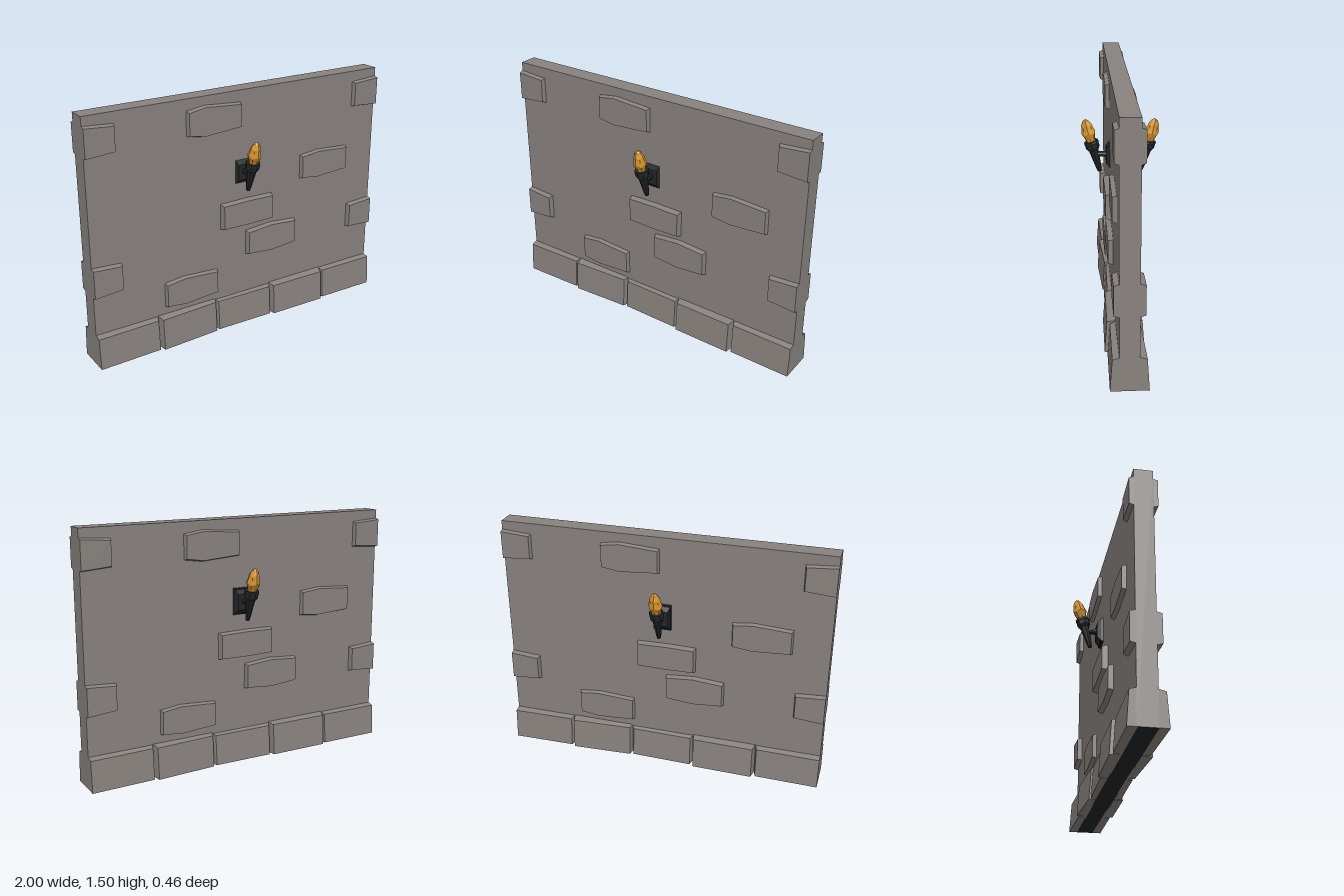
import * as THREE from 'three';

const stone = new THREE.MeshStandardMaterial({ name: 'stone grey', color: 0x88827e, flatShading: true });
const iron = new THREE.MeshStandardMaterial({ name: 'dark iron', color: 0x222426, flatShading: true });
const fire = new THREE.MeshStandardMaterial({ name: 'flame orange', color: 0xd6942f, flatShading: true });

function mesh(name, geometry, material, parent) {
  const m = new THREE.Mesh(geometry, material);
  m.name = name;
  parent.add(m);
  return m;
}

// Solid between two matching rings, both counter-clockwise seen from +z
function loft(back, front) {
  const pos = [];
  const tri = (a, b, c) => pos.push(...a, ...b, ...c);
  const n = back.length;
  for (let i = 0; i < n; i++) {
    const j = (i + 1) % n;
    tri(back[i], back[j], front[j]);
    tri(back[i], front[j], front[i]);
    if (i > 0 && i < n - 1) {
      tri(front[0], front[i], front[i + 1]);
      tri(back[0], back[i + 1], back[i]);
    }
  }
  const g = new THREE.BufferGeometry();
  g.setAttribute('position', new THREE.Float32BufferAttribute(pos, 3));
  g.computeVertexNormals();
  return g;
}

// Bevelled block: outline shrinks by (ix, iy) from z0 to z1; wall ends stay flush
function bevelled(outline, z0, z1, ix, iy) {
  const xs = outline.map(p => p[0]), ys = outline.map(p => p[1]);
  const x0 = Math.min(...xs), x1 = Math.max(...xs);
  const cy = (Math.min(...ys) + Math.max(...ys)) / 2;
  const inset = ([x, y]) => {
    let nx = x;
    if (Math.abs(x) < 1 && x === x0) nx += ix;
    if (Math.abs(x) < 1 && x === x1) nx -= ix;
    return [nx, y + Math.sign(cy - y) * iy, z1];
  };
  return loft(outline.map(([x, y]) => [x, y, z0]), outline.map(inset));
}

// Bricks: left x, ridge x, right x, bottom y, top y, end drop, face z
const BRICKS = [
  [-0.38, -0.26, -0.015, 1.26, 1.45, 0.017, 0.08],
  [0.42, 0.55, 0.785, 0.855, 1.042, 0.014, 0.08],
  [-0.16, 0.03, 0.21, 0.655, 0.83, 0.004, 0.09],
  [0.02, 0.2, 0.39, 0.437, 0.63, 0.015, 0.085],
  [-0.55, -0.42, -0.182, 0.235, 0.425, 0.015, 0.08],
];
// Half bricks at the wall ends: bottom y, top y, face z
const END_BRICKS = [[1.26, 1.45, 0.08], [0.437, 0.63, 0.085]];
// Base stones: left x, right x, foot z at left, foot z at right, top y
const BASE = [
  [-1, -0.6, 0.108, 0.1, 0.203],
  [-0.6, -0.2, 0.115, 0.095, 0.206],
  [-0.2, 0.2, 0.088, 0.095, 0.2],
  [0.2, 0.6, 0.11, 0.115, 0.206],
  [0.6, 1, 0.1, 0.105, 0.203],
];
const WALL_Z = 0.055;

// All stonework on one face of the wall
function stoneFace(name) {
  const face = new THREE.Group();
  face.name = name;
  for (const [xl, xm, xr, b, t, d, z] of BRICKS) {
    const outline = [[xl, b + d], [xm, b], [xr, b + d], [xr, t - d], [xm, t], [xl, t - d]];
    mesh('brick', bevelled(outline, WALL_Z - 0.01, z, 0.011, 0.011), stone, face);
  }
  for (const [b, t, z] of END_BRICKS) {
    const left = [[-1, b], [-0.813, b + 0.013], [-0.813, t - 0.013], [-1, t]];
    const right = [[0.813, b + 0.013], [1, b], [1, t], [0.813, t - 0.013]];
    mesh('leftEndBrick', bevelled(left, WALL_Z - 0.01, z, 0.011, 0.011), stone, face);
    mesh('rightEndBrick', bevelled(right, WALL_Z - 0.01, z, 0.011, 0.011), stone, face);
  }
  for (const [x0, x1, z0, z1, top] of BASE) {
    const a = x0 === -1 ? x0 : x0 + 0.012, b = x1 === 1 ? x1 : x1 - 0.012;
    const w = WALL_Z - 0.005;
    const back = [[x0, 0, w], [x1, 0, w], [x1, top, w], [x0, top, w]];
    const front = [[a, 0, z0], [b, 0, z1], [b, top - 0.012, z1 - 0.013], [a, top - 0.012, z0 - 0.013]];
    mesh('baseStone', loft(back, front), stone, face);
  }
  return face;
}

function lathe(points, sides) {
  return new THREE.LatheGeometry(points.map(p => new THREE.Vector2(...p)), sides);
}

// Wall torch, leaning outwards along +z
function torch(name) {
  const t = new THREE.Group();
  t.name = name;
  const plate = [[-0.055, 0.925], [0.055, 0.925], [0.055, 1.087], [-0.055, 1.087]];
  mesh('wallPlate', bevelled(plate, 0.045, 0.063, 0.002, 0.002), iron, t);
  const rim = plate.map(([x, y]) => [x * 0.97, y]);
  mesh('plateBevel', bevelled(rim, 0.055, 0.085, 0.012, 0.033), iron, t);
  const arm = mesh('bracketArm', new THREE.CylinderGeometry(0.016, 0.018, 0.07, 8), iron, t);
  arm.rotation.x = Math.PI / 2;
  arm.position.set(0, 1.01, 0.11);

  const lean = new THREE.Group();
  lean.name = 'leaningTorch';
  lean.position.set(0, 0.902, 0.122);
  lean.rotation.x = 0.268;
  t.add(lean);
  mesh('handle', lathe([[0, 0], [0.012, 0], [0.017, 0.03], [0.029, 0.14], [0, 0.14]], 8), iron, lean);
  mesh('cup', lathe([[0, 0.135], [0.029, 0.135], [0.042, 0.155], [0.042, 0.18],
    [0.045, 0.182], [0.042, 0.197], [0, 0.192]], 8), iron, lean);

  // Flame with a stepped, ragged outline
  const flame = mesh('flame', lathe([[0, 0], [0.026, 0], [0.031, 0.025], [0.042, 0.055],
    [0.034, 0.085], [0.031, 0.105], [0.016, 0.135], [0, 0.145]], 8), fire, lean);
  const p = flame.geometry.attributes.position;
  for (let i = 0; i < p.count; i++) {
    const lick = Math.atan2(p.getX(i), p.getZ(i));
    const mid = Math.sin(Math.PI * Math.min(1, p.getY(i) / 0.145));
    p.setY(i, p.getY(i) + 0.007 * mid * Math.cos(4 * lick));
  }
  flame.geometry.computeVertexNormals();
  flame.position.y = 0.19;
  return t;
}

export function createModel() {
  const model = new THREE.Group();
  model.name = 'torchWall';

  // Wall slab with a dark underside
  const slab = mesh('wallSlab', new THREE.BoxGeometry(2, 1.5, 0.11),
    [stone, stone, stone, iron, stone, stone], model);
  slab.position.set(0, 0.75, 0.01);

  // Both faces are the same, turned half way round
  for (const [side, turn] of [['front', 0], ['back', Math.PI]]) {
    const face = stoneFace(side + 'Stonework');
    face.rotation.y = turn;
    face.position.z = 0.01;
    const light = torch(side + 'Torch');
    light.rotation.y = turn;
    light.position.z = 0.002;
    model.add(face, light);
  }
  return model;
}
